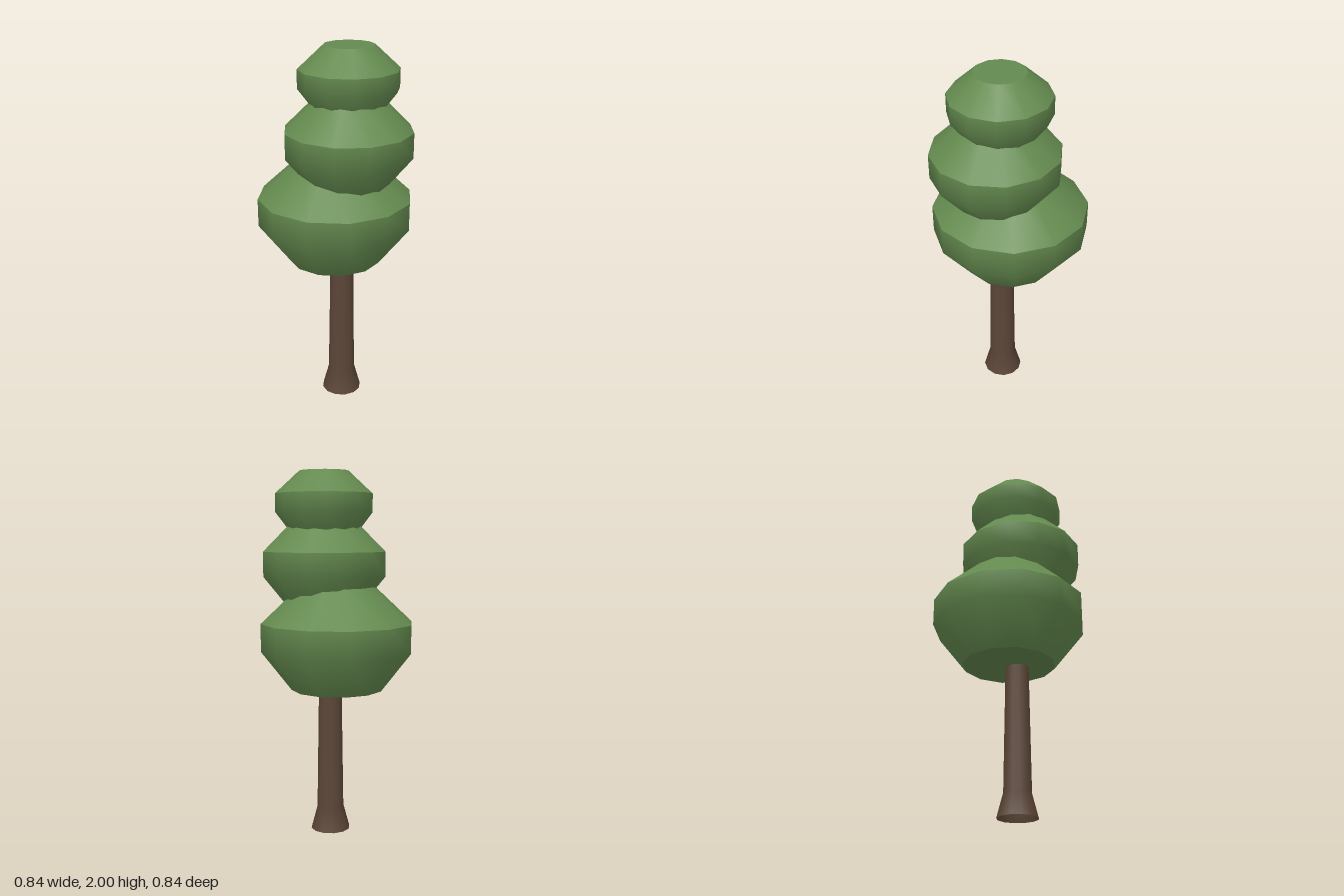
import * as THREE from 'three';

const SIDES = 12;

export function createModel() {
  const tree = new THREE.Group();
  tree.name = 'tree';

  const leaf = new THREE.MeshStandardMaterial({ color: 0x648a4f });
  leaf.name = 'leaf green';
  const bark = new THREE.MeshStandardMaterial({ color: 0x5b4537, side: THREE.DoubleSide });
  bark.name = 'bark brown';

  // Smooth surface of revolution through [radius, y] points, listed bottom to top
  const lathe = (points, turn, material, name) => {
    const profile = points.map(([r, y]) => new THREE.Vector2(r, y));
    const geometry = new THREE.LatheGeometry(profile, SIDES, THREE.MathUtils.degToRad(-turn));
    const mesh = new THREE.Mesh(geometry, material);
    mesh.name = name;
    return mesh;
  };

  // Trunk with a flared, open foot; it runs up into the foliage
  const trunk = lathe([[0.11, 0], [0.075, 0.13], [0.063, 0.9]], 0, bark, 'trunk');
  trunk.position.set(0.03, 0, 0.05);
  tree.add(trunk);

  // Each tier: centre, turn in degrees, and rings (bottom, belt, shoulder, top)
  const tiers = [
    { name: 'lowerFoliage', x: 0, z: 0, turn: 0.7,
      rings: [[0.253, 0.817], [0.419, 1.032], [0.419, 1.185], [0.21, 1.38]] },
    { name: 'middleFoliage', x: 0.058, z: 0.077, turn: 24,
      rings: [[0.19, 1.25], [0.341, 1.435], [0.341, 1.57], [0.17, 1.74]] },
    { name: 'upperFoliage', x: 0.062, z: 0.053, turn: 6,
      rings: [[0.165, 1.65], [0.264, 1.78], [0.264, 1.88], [0.133, 2]] },
  ];

  for (const { name, x, z, turn, rings } of tiers) {
    const [bottom, belt, shoulder, top] = rings;
    const tier = new THREE.Group();
    tier.name = name;
    tier.position.set(x, 0, z);
    // Separate pieces keep the shoulder and the caps crisp
    tier.add(
      lathe([[0, bottom[1]], bottom], turn, leaf, name + 'Underside'),
      lathe([bottom, belt, shoulder], turn, leaf, name + 'Bowl'),
      lathe([shoulder, top], turn, leaf, name + 'Crown'),
      lathe([top, [0, top[1]]], turn, leaf, name + 'Cap'),
    );
    tree.add(tier);
  }

  return tree;
}
